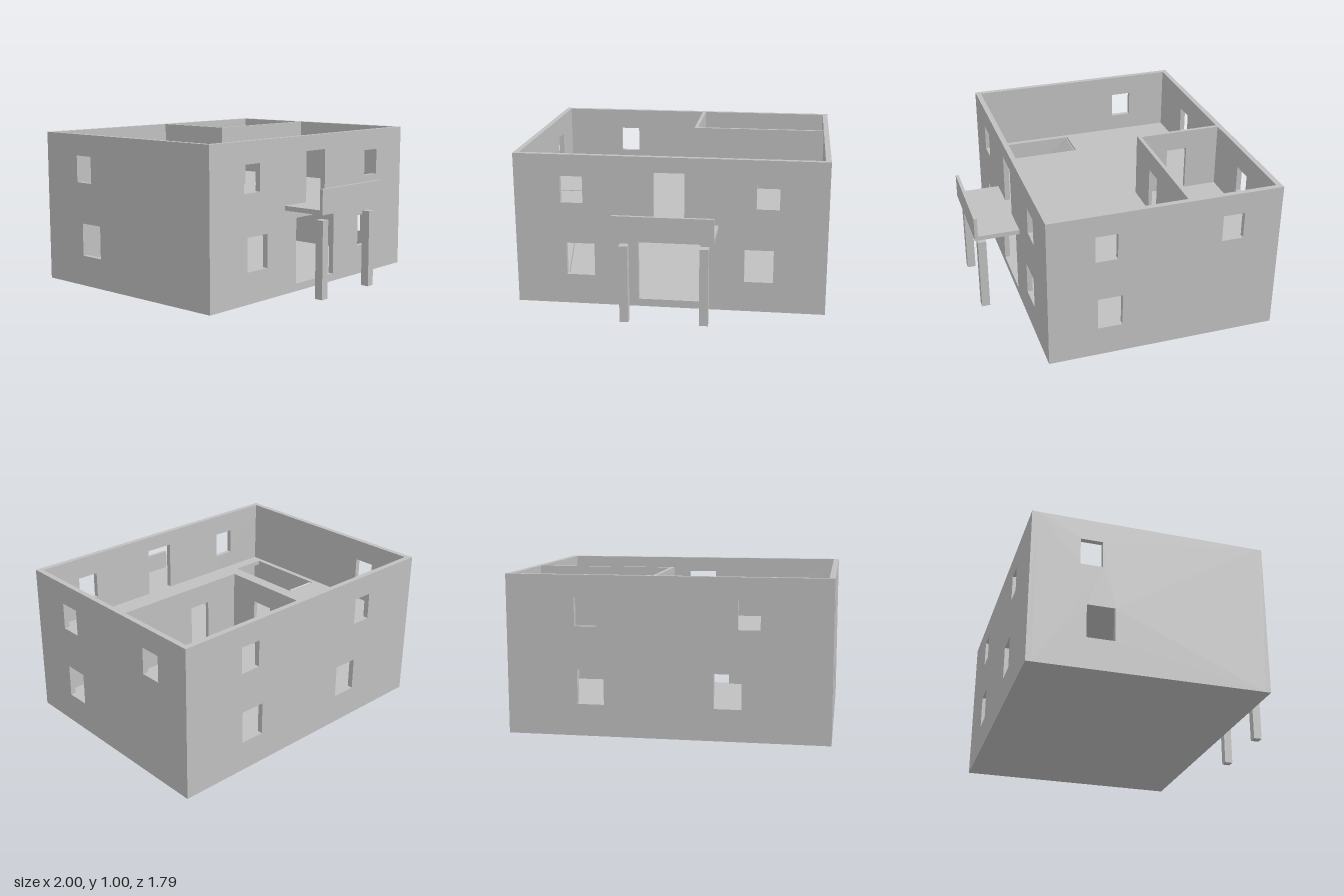
import * as THREE from 'three';

const plaster = new THREE.MeshStandardMaterial({ color: 0xc0c0c0 });
plaster.name = 'plaster grey';

const T = 0.035;                       // outer wall thickness
const FLOOR = 0.05, SLAB = 0.54, UPPER = 0.57;

// Rectangular outline [a0, a1, b0, b1]
function outline(Type, [a0, a1, b0, b1]) {
  const s = new Type();
  s.moveTo(a0, b0);
  s.lineTo(a1, b0);
  s.lineTo(a1, b1);
  s.lineTo(a0, b1);
  s.closePath();
  return s;
}

// Flat panel with rectangular openings, extruded towards +z
function panel(name, rect, openings, depth) {
  const shape = outline(THREE.Shape, rect);
  shape.holes = openings.map((o) => outline(THREE.Path, o));
  const mesh = new THREE.Mesh(new THREE.ExtrudeGeometry(shape, { depth, bevelEnabled: false }), plaster);
  mesh.name = name;
  return mesh;
}

// Wall along x whose back face is at z
function wallX(name, rect, openings, z, depth = T) {
  const m = panel(name, rect, openings, depth);
  m.position.z = z;
  return m;
}

// Wall along z whose outer +x face is at x
function wallZ(name, rect, openings, x, depth = T) {
  const m = panel(name, rect, openings, depth);
  m.rotation.y = -Math.PI / 2;
  m.position.x = x;
  return m;
}

// Box from its minimum and maximum corners
function block(name, x0, x1, y0, y1, z0, z1) {
  const m = new THREE.Mesh(new THREE.BoxGeometry(x1 - x0, y1 - y0, z1 - z0), plaster);
  m.position.set((x0 + x1) / 2, (y0 + y1) / 2, (z0 + z1) / 2);
  m.name = name;
  return m;
}

const lower = (a, b) => [a, b, 0.2, 0.415];     // ground floor window
const upper = (a, b) => [a, b, 0.685, 0.86];    // upper floor window

export function createModel() {
  const house = new THREE.Group();
  house.name = 'house';

  // Outer walls
  house.add(
    wallX('frontWall', [-1, 1, 0, 1], [
      lower(-0.67, -0.485), lower(0.48, 0.665),
      upper(-0.7, -0.555), upper(0.55, 0.695),
      [-0.2, 0.2, FLOOR, 0.48], [-0.1, 0.097, UPPER, 0.9],
    ], 0.6 - T),
    wallX('backWall', [-1, 1, 0, 1], [
      lower(0.39, 0.557), lower(-0.46, -0.29),
      upper(0.43, 0.57), upper(-0.57, -0.435),
    ], -0.9),
    wallZ('leftWall', [-0.9 + T, 0.6 - T, 0, 1], [
      lower(0.125, 0.285), upper(0.16, 0.302), upper(-0.652, -0.512),
    ], 1),
    wallZ('rightWall', [-0.9 + T, 0.6 - T, 0, 1], [
      lower(-0.55, -0.375), upper(-0.595, -0.455),
    ], -1 + T),
  );

  // Ground floor and upper floor with the stair opening
  house.add(block('groundFloor', -1 + T, 1 - T, 0, FLOOR, -0.9 + T, 0.6 - T));
  const slab = panel('upperFloor', [-1 + T, 1 - T, -0.6 + T, 0.9 - T],
    [[-0.93, -0.695, -0.485, 0.08]], UPPER - SLAB);
  slab.rotation.x = -Math.PI / 2;
  slab.position.y = SLAB;
  house.add(slab);

  // Upper floor partitions with doorways
  house.add(
    wallX('roomFrontPartition', [0.06, 1 - T, UPPER, 1], [[0.31, 0.45, UPPER + 0.001, 0.87]], -0.312, 0.024),
    wallZ('roomSidePartition', [-0.9 + T, -0.312, UPPER, 1], [[-0.64, -0.5, UPPER + 0.001, 0.87]], 0.084, 0.024),
  );

  // Stair ramp, hung from its upper surface line
  const rise = UPPER - FLOOR, run = 0.545, thick = 0.03;
  const ramp = new THREE.Mesh(
    new THREE.BoxGeometry(0.215, thick, Math.hypot(rise, run)).translate(0, -thick / 2, 0), plaster);
  ramp.name = 'stairRamp';
  ramp.rotation.x = Math.atan2(rise, run);
  ramp.position.set(-0.817, (FLOOR + UPPER) / 2, 0.48 - run / 2);
  house.add(ramp);

  // Balcony and its posts
  const balcony = new THREE.Group();
  balcony.name = 'balcony';
  balcony.add(
    block('balconySlab', -0.313, 0.313, SLAB, UPPER, 0.6, 0.893),
    block('balconyParapet', -0.313, 0.313, UPPER, 0.7, 0.872, 0.893),
  );
  for (const s of [-1, 1]) {
    const post = block('porchPost', -0.0275, 0.0275, 0, 0.5, 0.815, 0.87);
    post.position.x = s * 0.25;
    balcony.add(post);
  }
  house.add(balcony);

  return house;
}
